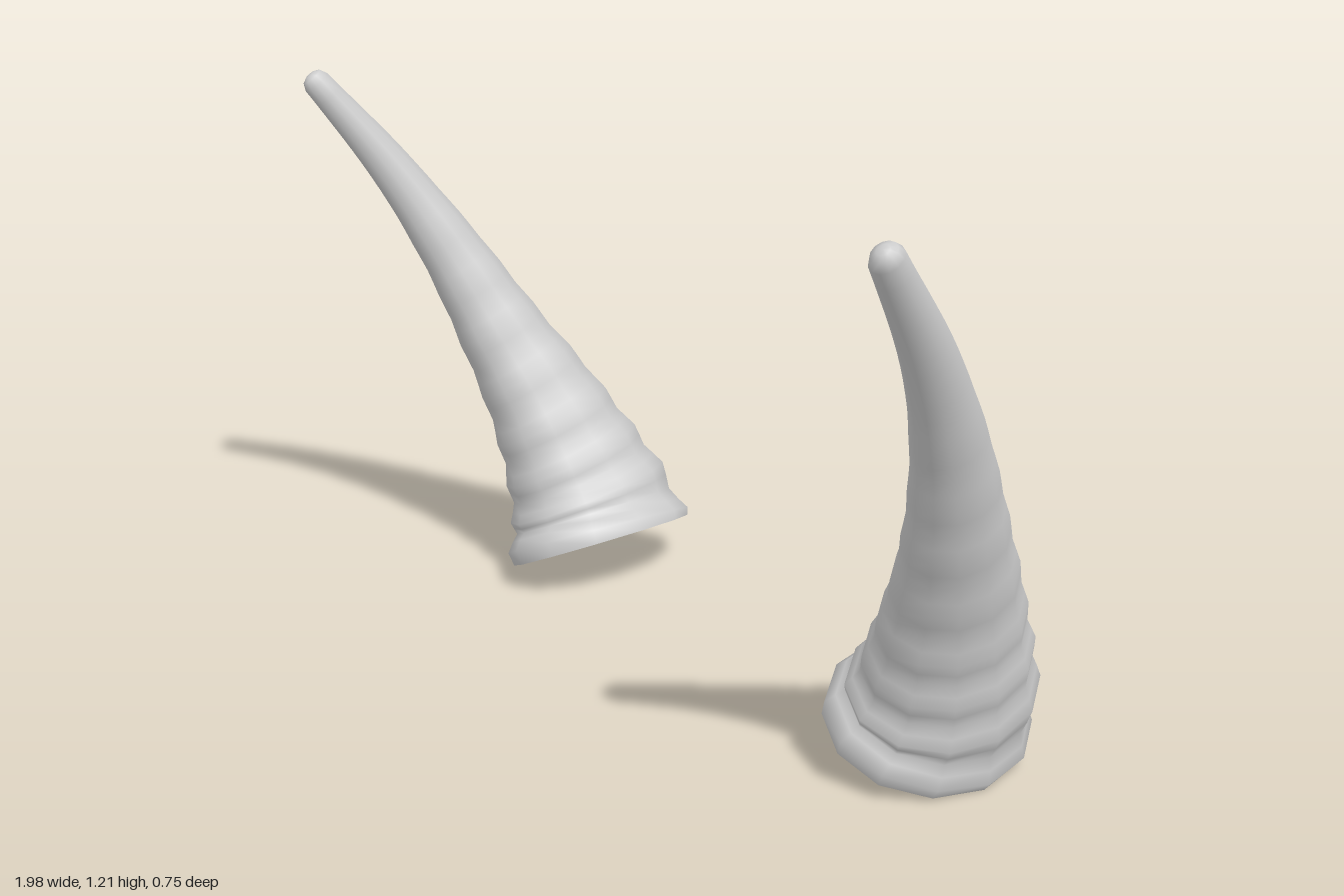
import * as THREE from 'three';

const hornMaterial = new THREE.MeshStandardMaterial({ color: 0xcccccc });
hornMaterial.name = 'horn grey';

const SIDES = 12;
const STEPS = 4; // rings per rib

// centre line of the left horn, root to tip
const path = new THREE.CatmullRomCurve3([
  [0.575, 0.095, -0.15], [0.62, 0.19, -0.147], [0.70, 0.4, -0.09], [0.78, 0.6, -0.01],
  [0.85, 0.8, 0.08], [0.912, 1.0, 0.195], [0.968, 1.215, 0.352],
].map((p) => new THREE.Vector3(...p)));

// each rib crest: [distance along the horn, radius, depth of the groove after it]
const ribs = [
  [0.025, 0.195, 0.09], [0.12, 0.173, 0.07], [0.22, 0.15, 0.06], [0.325, 0.129, 0.05],
  [0.45, 0.108, 0.05], [0.585, 0.089, 0.04], [0.71, 0.074, 0.03], [0.85, 0.060, 0.02],
  [1.0, 0.047, 0], [1.15, 0.037, 0], [1.28, 0.029, 0],
];

// ring list [distance, radius]: lip, ribs with grooves, rounded tip
function hornRings(length) {
  const rings = [[0, 0.19]];
  for (let i = 0; i < ribs.length - 1; i++) {
    const [s0, r0, groove] = ribs[i];
    const [s1, r1] = ribs[i + 1];
    for (let k = 0; k < STEPS; k++) {
      const t = k / STEPS;
      const dip = groove * (0.5 - 0.5 * Math.cos(t * Math.PI * 2));
      rings.push([THREE.MathUtils.lerp(s0, s1, t), THREE.MathUtils.lerp(r0, r1, t) * (1 - dip)]);
    }
  }
  rings.push([length - 0.022, 0.029], [length - 0.006, 0.022], [length, 0.011]);
  return rings;
}

// oval cross-sections swept along the path; side is 1 (left) or -1 (right)
function makeHorn(side) {
  const length = path.getLength();
  const rings = hornRings(length).filter(([s]) => s <= length);
  const pos = [];
  const index = [];
  const tri = (a, b, c) => (side > 0 ? index.push(a, b, c) : index.push(a, c, b));
  const add = (p) => pos.push(p.x * side, p.y, p.z) / 3 - 1;

  for (const [s, r] of rings) {
    const u = s / length;
    const centre = path.getPointAt(u);
    const tangent = path.getTangentAt(u);
    const v = new THREE.Vector3(0, 0, 1).addScaledVector(tangent, -tangent.z).normalize();
    const w = new THREE.Vector3().crossVectors(tangent, v);
    const oval = THREE.MathUtils.lerp(1.19, 1.12, u);
    for (let j = 0; j < SIDES; j++) {
      const a = (j / SIDES) * Math.PI * 2;
      add(centre.clone()
        .addScaledVector(v, Math.cos(a) * r * oval)
        .addScaledVector(w, Math.sin(a) * r));
    }
  }
  for (let i = 0; i < rings.length - 1; i++) {
    for (let j = 0; j < SIDES; j++) {
      const a = i * SIDES + j;
      const b = i * SIDES + ((j + 1) % SIDES);
      tri(a, b, b + SIDES);
      tri(a, b + SIDES, a + SIDES);
    }
  }
  // tip
  const last = (rings.length - 1) * SIDES;
  const tip = add(path.getPointAt(1).addScaledVector(path.getTangentAt(1), 0.002));
  for (let j = 0; j < SIDES; j++) tri(last + j, last + ((j + 1) % SIDES), tip);

  // flat root, with its own corners for a sharp edge
  const root = add(path.getPointAt(0));
  for (let j = 0; j < SIDES; j++) pos.push(...pos.slice(j * 3, j * 3 + 3));
  for (let j = 0; j < SIDES; j++) tri(root, root + 1 + ((j + 1) % SIDES), root + 1 + j);

  const geometry = new THREE.BufferGeometry();
  geometry.setAttribute('position', new THREE.Float32BufferAttribute(pos, 3));
  geometry.setIndex(index);
  geometry.computeVertexNormals();
  const horn = new THREE.Mesh(geometry, hornMaterial);
  horn.name = side > 0 ? 'leftHorn' : 'rightHorn';
  return horn;
}

export function createModel() {
  const model = new THREE.Group();
  model.name = 'hornPair';
  model.add(makeHorn(1), makeHorn(-1));
  return model;
}
